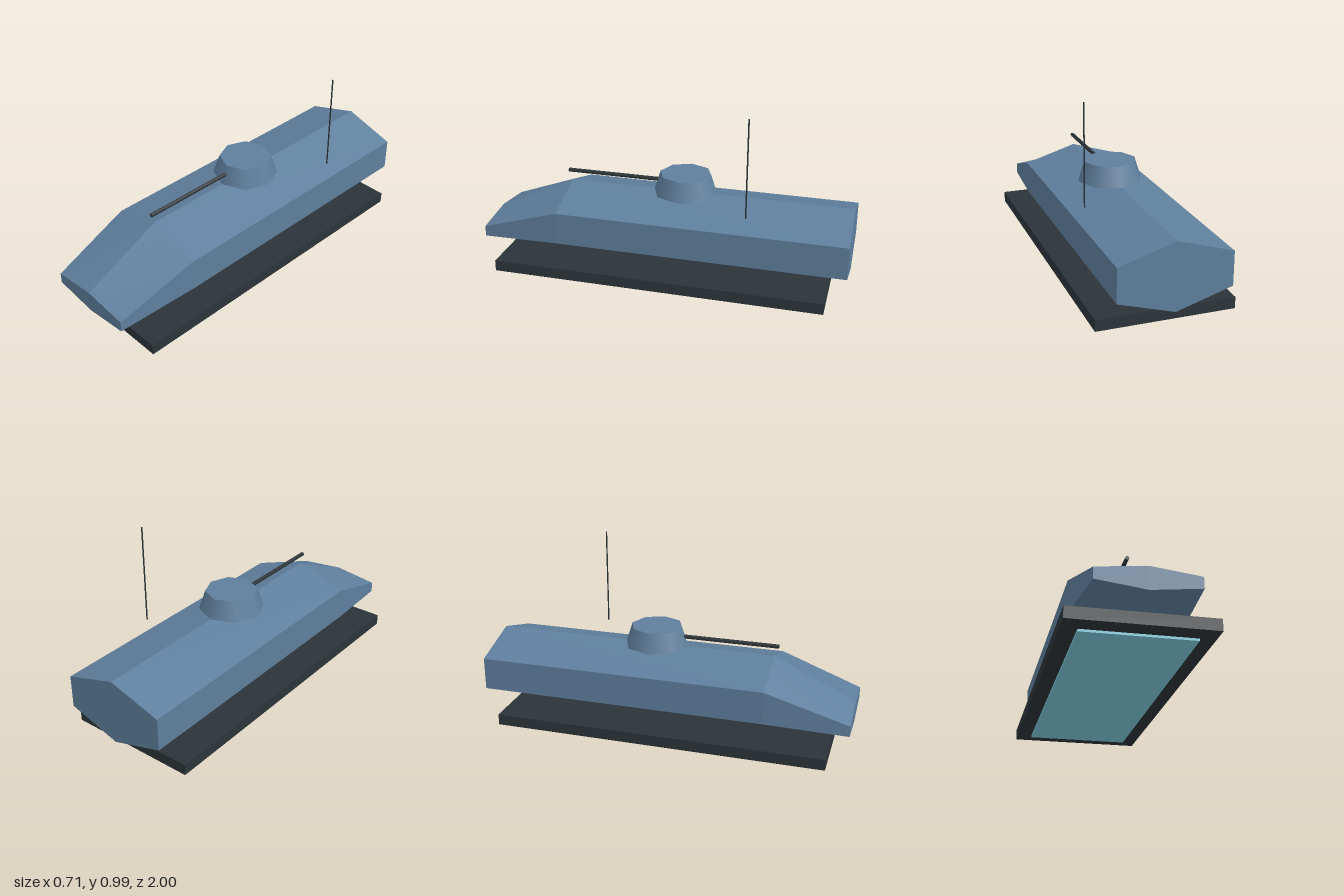
import * as THREE from 'three';

const hullPaint = new THREE.MeshStandardMaterial({ color: 0x5f7f9d });
hullPaint.name = 'blue grey hull';
const darkMetal = new THREE.MeshStandardMaterial({ color: 0x2c3439 });
darkMetal.name = 'dark metal';
const hoverGlow = new THREE.MeshStandardMaterial({ color: 0x7ecddf });
hoverGlow.name = 'pale cyan hover plate';

// Six-sided cross-section, anticlockwise seen from the front
function section(z, halfWidth, ridge, shoulder, lower, keel) {
  return [
    [0, ridge, z], [-halfWidth, shoulder, z], [-halfWidth, lower, z],
    [0, keel, z], [halfWidth, lower, z], [halfWidth, shoulder, z],
  ];
}

// Joins cross-sections, ordered back to front, into a closed solid of separate panels
function loft(sections) {
  const points = [], indices = [];
  const panel = (corners) => {
    const start = points.length / 3;
    points.push(...corners.flat());
    for (let i = 1; i < corners.length - 1; i++) indices.push(start, start + i, start + i + 1);
  };
  for (let s = 0; s < sections.length - 1; s++) {
    const back = sections[s], front = sections[s + 1];
    back.forEach((corner, i) => {
      const j = (i + 1) % back.length;
      panel([corner, back[j], front[j], front[i]]);
    });
  }
  panel([...sections[0]].reverse());
  panel(sections[sections.length - 1]);

  const geometry = new THREE.BufferGeometry();
  geometry.setAttribute('position', new THREE.Float32BufferAttribute(points, 3));
  geometry.setIndex(indices);
  geometry.computeVertexNormals();
  return geometry;
}

export function createModel() {
  const model = new THREE.Group();
  model.name = 'hoverTank';
  const add = (name, geometry, material, x, y, z) => {
    const mesh = new THREE.Mesh(geometry, material);
    mesh.name = name;
    mesh.position.set(x, y, z);
    model.add(mesh);
  };

  // Hull: constant body with a tapered nose
  add('hull', loft([
    section(-1, 0.288, 0.454, 0.366, 0.189, 0.102),
    section(0.56, 0.288, 0.454, 0.366, 0.189, 0.102),
    section(1, 0.247, 0.248, 0.219, 0.161, 0.131),
  ]), hullPaint, 0, 0, 0);

  // Hover skirt and the plate under it
  add('skirt', new THREE.BoxGeometry(0.714, 0.06, 1.8), darkMetal, 0, 0.042, 0);
  add('hoverPlate', new THREE.BoxGeometry(0.556, 0.024, 1.6), hoverGlow, 0, 0.012, 0);

  // Turret with its gun
  add('turret', new THREE.CylinderGeometry(0.141, 0.176, 0.105, 8), hullPaint, 0, 0.506, -0.09);
  const barrel = new THREE.CylinderGeometry(0.011, 0.011, 0.54, 6).rotateY(Math.PI / 6).rotateX(Math.PI / 2);
  add('gunBarrel', barrel, darkMetal, 0, 0.508, 0.312);

  // Whip antenna
  add('antenna', new THREE.CylinderGeometry(0.004, 0.004, 0.53, 5), darkMetal, 0.264, 0.72, -0.47);

  return model;
}
